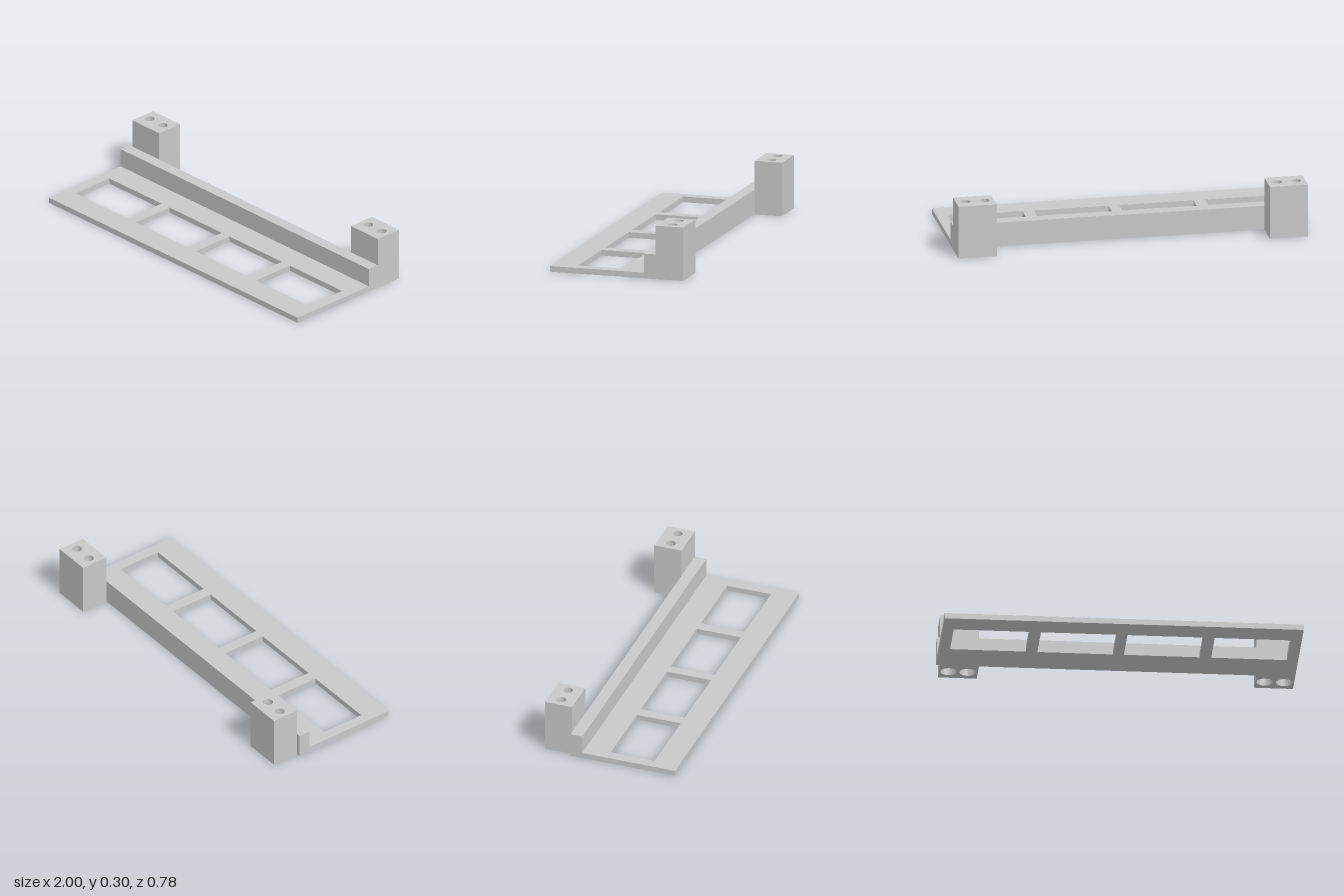
import * as THREE from 'three';
import { toCreasedNormals } from 'three/addons/utils/BufferGeometryUtils.js';

const grey = new THREE.MeshStandardMaterial({ color: 0xc8c8c8 });
grey.name = 'lightGrey';

const BACK = -0.389, FRONT = 0.389;
const RAIL_BACK = -0.228, RAIL_FRONT = -0.16;

// Counter-clockwise rectangle in plan (x, z); the shape's y axis is -z
function trace(path, x0, x1, z0, z1) {
  path.moveTo(x0, -z0);
  path.lineTo(x0, -z1);
  path.lineTo(x1, -z1);
  path.lineTo(x1, -z0);
  path.closePath();
  return path;
}

// Extrude a plan shape upwards from y0 to y1, with smooth hole walls
function slab(name, shape, y0, y1) {
  const geometry = new THREE.ExtrudeGeometry(shape, { depth: y1 - y0, bevelEnabled: false, curveSegments: 32 });
  geometry.rotateX(-Math.PI / 2);
  geometry.translate(0, y0, 0);
  const mesh = new THREE.Mesh(toCreasedNormals(geometry, Math.PI / 6), grey);
  mesh.name = name;
  return mesh;
}

// Mounting block: narrow screw holes above, wide counterbores below
function mountingBlock(name, x0, x1, holeXs) {
  const group = new THREE.Group();
  group.name = name;
  const layer = (part, radius, y0, y1) => {
    const shape = trace(new THREE.Shape(), x0, x1, BACK, RAIL_BACK);
    for (const x of holeXs) {
      shape.holes.push(new THREE.Path().absarc(x, 0.31, radius, 0, Math.PI * 2, true));
    }
    group.add(slab(part, shape, y0, y1));
  };
  layer('counterboreBlock', 0.046, 0, 0.25);
  layer('screwHoleBlock', 0.027, 0.25, 0.304);
  return group;
}

export function createModel() {
  const model = new THREE.Group();
  model.name = 'mountingBracket';

  // Thin base plate with four rectangular windows
  const plate = trace(new THREE.Shape(), -1, 1, RAIL_FRONT, FRONT);
  for (const x of [-0.939, -0.453, 0.029, 0.515]) {
    plate.holes.push(trace(new THREE.Path(), x, x + 0.422, -0.014, 0.246));
  }
  model.add(slab('windowPlate', plate, 0, 0.032));

  // Raised rail along the back of the plate
  model.add(slab('rail', trace(new THREE.Shape(), -1, 1, RAIL_BACK, RAIL_FRONT), 0, 0.14));

  // Blocks behind the rail; the right one is set in slightly from the end
  model.add(mountingBlock('rightBlock', -0.978, -0.762, [-0.925, -0.818]));
  model.add(mountingBlock('leftBlock', 0.783, 1, [0.837, 0.945]));

  return model;
}
